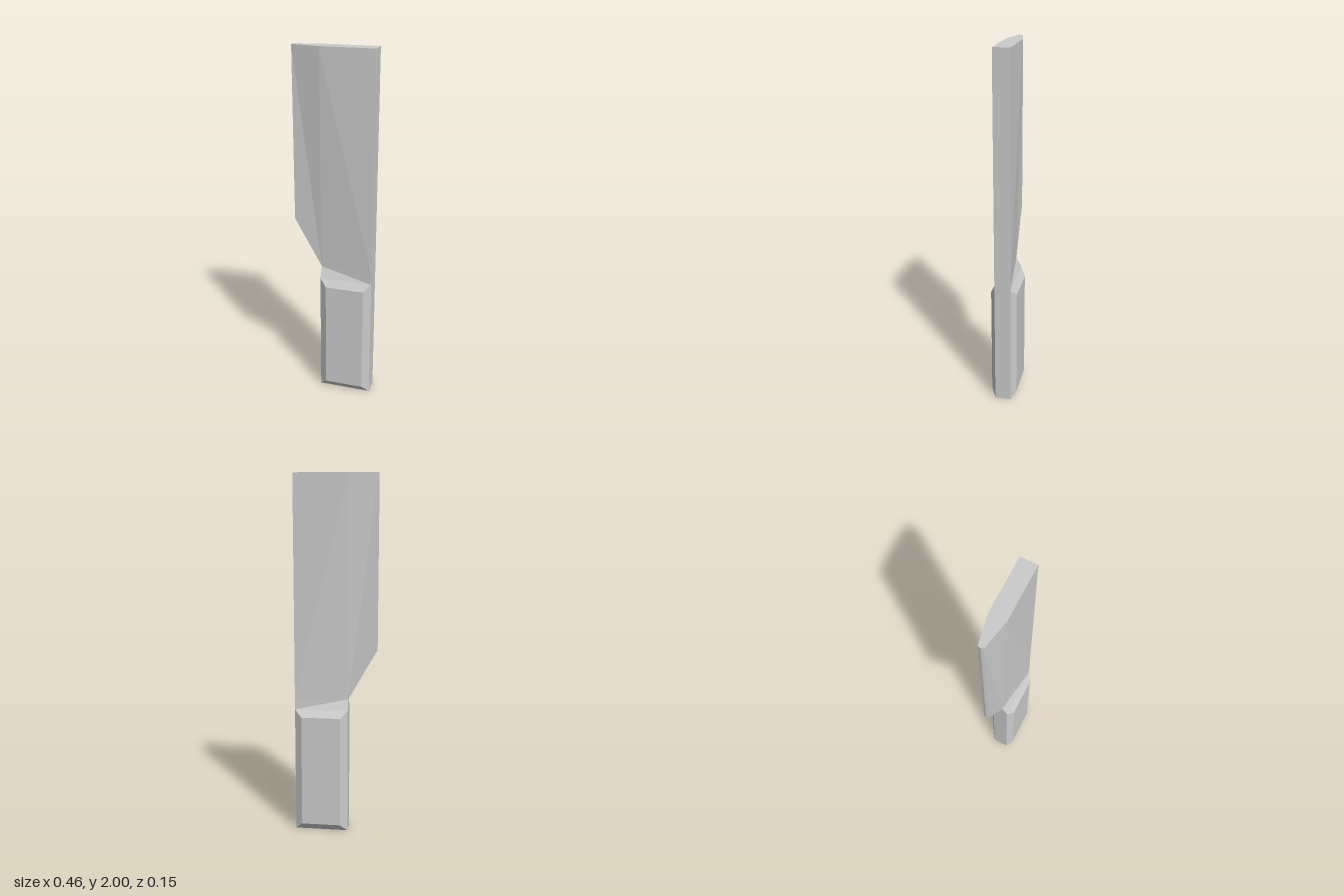
import * as THREE from 'three';

// Collects faces given on the front half and mirrors them to the back (z -> -z).
class MirroredFaces {
  constructor() { this.positions = []; }

  triangle(a, b, c) {
    const [A, B, C] = [a, b, c].map((p) => new THREE.Vector3(...p));
    const area = B.sub(A).cross(C.sub(A)).length();
    if (area > 1e-9) this.positions.push(...a, ...b, ...c);
  }

  // Fan of triangles, counter-clockwise seen from outside, plus its mirror
  face(...pts) {
    const back = pts.map(mirror);
    for (let i = 1; i < pts.length - 1; i++) {
      this.triangle(pts[0], pts[i], pts[i + 1]);
      this.triangle(back[0], back[i + 1], back[i]);
    }
  }

  // Edge wall from front to back along a path that runs clockwise round the outline
  wall(...path) {
    for (let i = 0; i < path.length - 1; i++) {
      const [p, q] = [path[i], path[i + 1]];
      this.triangle(p, q, mirror(q));
      this.triangle(p, mirror(q), mirror(p));
    }
  }

  mesh(name) {
    const geometry = new THREE.BufferGeometry();
    geometry.setAttribute('position', new THREE.Float32BufferAttribute(this.positions, 3));
    geometry.computeVertexNormals();
    const mesh = new THREE.Mesh(
      geometry,
      new THREE.MeshStandardMaterial({ color: 0xcccccc, flatShading: true })
    );
    mesh.name = name;
    return mesh;
  }
}

const mirror = ([x, y, z]) => [x, y, -z];

// Shared dimensions
const SPINE = 0.228, INNER = -0.07, EDGE = -0.226, TIP = -0.23;
const THICK = 0.045, THIN = 0.015;
const TOP = 2, EDGE_LOW = 1.045, NECK = 0.77, SHOULDER = 0.71;

const notch = [INNER, NECK, THIN];
const spineNeck = [SPINE, NECK, THICK];

// Blade: thick spine, bevel towards a blunt cutting edge, slanted heel
function createBlade() {
  const f = new MirroredFaces();
  const spineTop = [SPINE, TOP, THICK], creaseTop = [INNER, TOP, THICK];
  const edgeTop = [EDGE, TOP, THIN], edgeLow = [EDGE, EDGE_LOW, THIN];
  const tipTop = [TIP, TOP, 0], tipLow = [TIP, EDGE_LOW, 0];

  f.face(spineNeck, spineTop, creaseTop, notch); // flat side
  f.face(notch, creaseTop, edgeTop, edgeLow); // bevel
  f.face(edgeLow, edgeTop, tipTop, tipLow); // cutting edge
  f.wall(tipTop, edgeTop, creaseTop, spineTop, spineNeck); // top and spine
  f.wall(notch, edgeLow, tipLow); // slanted heel
  return f.mesh('blade');
}

// Handle: neck flaring from the blade, then a slab with chamfered raised grips
function createHandle() {
  const f = new MirroredFaces();
  const rect = (x0, x1, y0, y1, z) => [[x0, y0, z], [x1, y0, z], [x1, y1, z], [x0, y1, z]];
  const outer = rect(INNER, SPINE, 0, SHOULDER, THICK);
  const inner = rect(-0.03, 0.188, 0.04, 0.67, 0.073);

  f.face(notch, outer[3], outer[2], spineNeck); // neck
  f.face(...inner); // grip face
  for (let i = 0; i < 4; i++) { // chamfers
    const j = (i + 1) % 4;
    f.face(outer[i], outer[j], inner[j], inner[i]);
  }
  f.wall(spineNeck, outer[2], outer[1], outer[0], outer[3], notch); // rim
  return f.mesh('handle');
}

export function createModel() {
  const group = new THREE.Group();
  group.name = 'knife';
  group.add(createBlade(), createHandle());
  return group;
}
